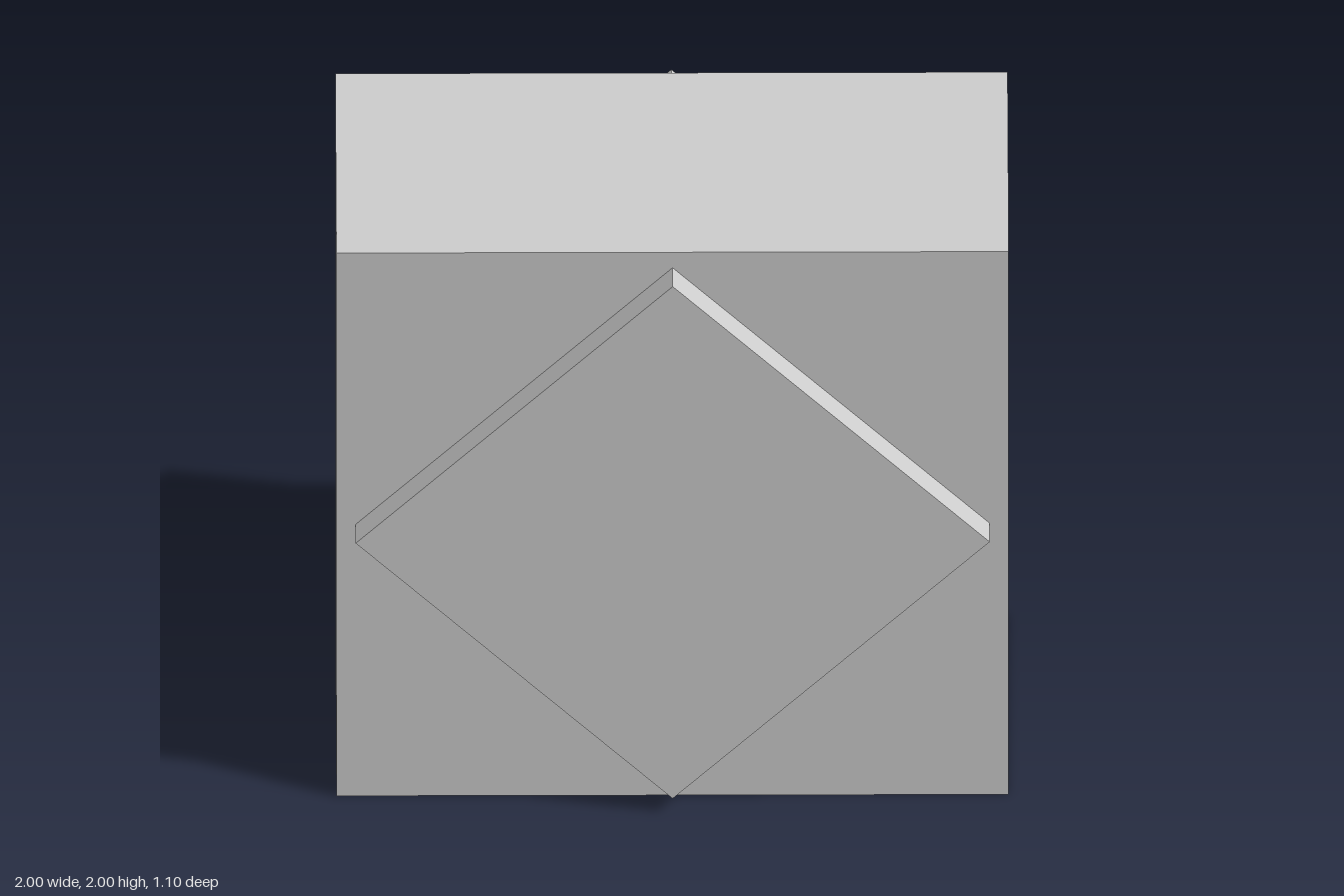
import * as THREE from 'three';

export function createModel() {
  const model = new THREE.Group();
  model.name = 'diamondBlock';
  const grey = new THREE.MeshStandardMaterial({ color: 0xcccccc });
  grey.name = 'light grey';

  const bodyDepth = 0.905;
  const plateDepth = 0.095;
  const plateSide = 0.943 * Math.SQRT2; // corner sits 0.943 from the centre

  // Main square block
  const body = new THREE.Mesh(new THREE.BoxGeometry(2, 2, bodyDepth), grey);
  body.name = 'body';
  body.position.y = 1;
  model.add(body);

  // Raised diamond plates on the front and back
  const plateGeometry = new THREE.BoxGeometry(plateSide, plateSide, plateDepth);
  for (const [name, side] of [['frontDiamond', 1], ['backDiamond', -1]]) {
    const plate = new THREE.Mesh(plateGeometry, grey);
    plate.name = name;
    plate.position.set(0, 1, side * (bodyDepth + plateDepth) / 2);
    plate.rotation.z = Math.PI / 4;
    model.add(plate);
  }
  return model;
}
